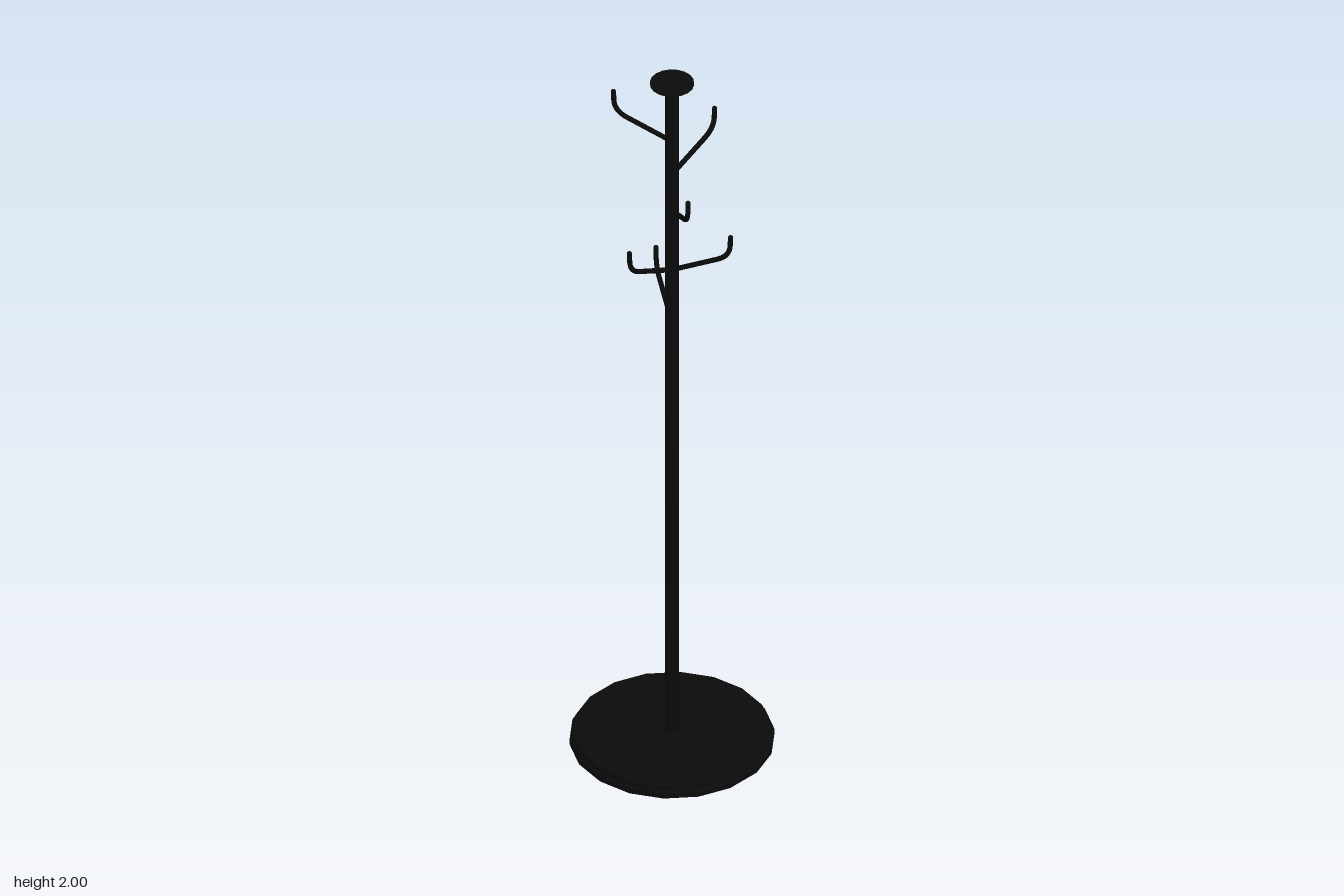
import * as THREE from 'three';

export function createModel() {
  const group = new THREE.Group();
  const black = new THREE.MeshStandardMaterial({ color: 0x0a0a0a });
  const blackFlat = new THREE.MeshStandardMaterial({ color: 0x0a0a0a, flatShading: true });

  const add = (name, geometry, material = black) => {
    const mesh = new THREE.Mesh(geometry, material);
    mesh.name = name;
    group.add(mesh);
    return mesh;
  };
  const lathe = (points, sides) =>
    new THREE.LatheGeometry(points.map(([r, y]) => new THREE.Vector2(r, y)), sides);

  // Faceted disc foot with a stepped, bevelled rim
  add('base', lathe([
    [0, 0], [0.25, 0], [0.255, 0.005], [0.255, 0.018],
    [0.247, 0.024], [0.247, 0.033], [0, 0.033],
  ], 18), blackFlat).rotation.y = Math.PI / 2;

  // Upright pole
  const pole = new THREE.CylinderGeometry(0.018, 0.018, 1.96, 18);
  add('pole', pole).position.y = 1.01;

  // Flat cap flaring out at the top of the pole
  add('cap', lathe([
    [0, 1.976], [0.018, 1.976], [0.034, 1.985], [0.055, 1.994], [0.055, 2], [0, 2],
  ], 18), blackFlat);

  // Hook: a straight rising arm, a rounded bend and an upright tip
  const hookPath = new THREE.CurvePath();
  const p = (x, y) => new THREE.Vector3(x, y, 0);
  hookPath.add(new THREE.LineCurve3(p(0.008, -0.126), p(0.118, -0.076)));
  hookPath.add(new THREE.QuadraticBezierCurve3(p(0.118, -0.076), p(0.148, -0.061), p(0.149, -0.03)));
  hookPath.add(new THREE.LineCurve3(p(0.149, -0.03), p(0.15, -0.004)));
  const hookGeometry = new THREE.TubeGeometry(hookPath, 24, 0.0065, 10, false);
  const tipGeometry = new THREE.SphereGeometry(0.0065, 10, 8);

  // [tip height, angle around the pole in degrees from +x towards +z]
  const hooks = [[1.95, 240], [1.85, 0], [1.74, 120], [1.56, 180], [1.56, 60], [1.4, 300]];
  hooks.forEach(([height, angle], i) => {
    const hook = new THREE.Group();
    hook.name = `hook${i + 1}`;
    const arm = new THREE.Mesh(hookGeometry, black);
    arm.name = 'hookArm';
    const tip = new THREE.Mesh(tipGeometry, black);
    tip.name = 'hookTip';
    tip.position.set(0.15, -0.005, 0);
    hook.add(arm, tip);
    hook.position.y = height;
    hook.rotation.y = -THREE.MathUtils.degToRad(angle);
    group.add(hook);
  });

  return group;
}
